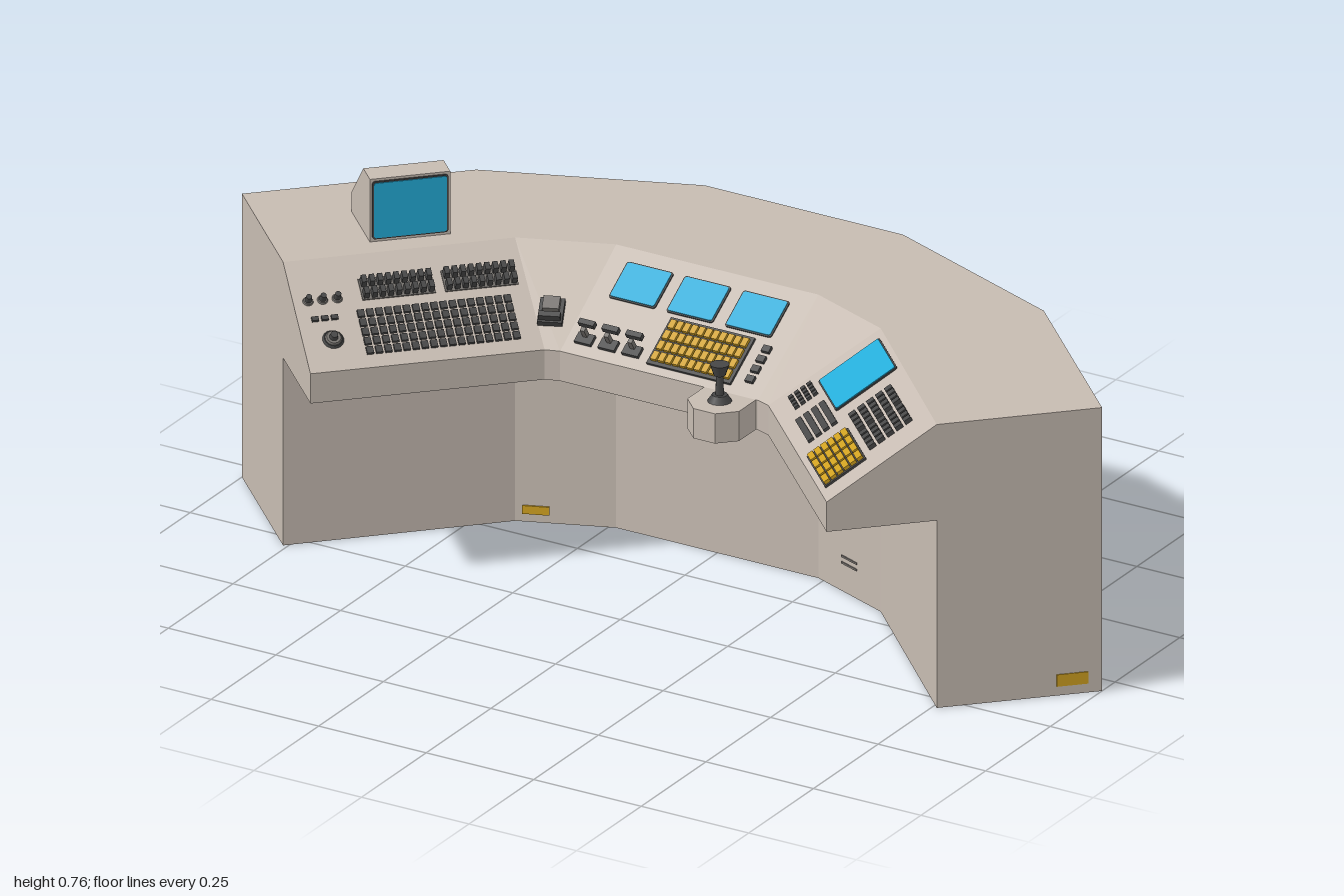
import * as THREE from 'three';
import { mergeGeometries } from 'three/addons/utils/BufferGeometryUtils.js';

const material = (name, color) => {
  const m = new THREE.MeshStandardMaterial({ color });
  m.name = name;
  return m;
};

export function createModel() {
  const model = new THREE.Group();
  model.name = 'controlDesk';
  const shell = material('warm grey shell', 0xc6bbb1);
  const dark = material('dark grey controls', 0x474747);
  const grey = material('mid grey keys', 0x77736f);
  const blue = material('blue screen', 0x24acd8);
  const yellow = material('yellow keys', 0xcfa020);

  const add = (parent, name, geometry, mat, x = 0, y = 0, z = 0) => {
    const mesh = new THREE.Mesh(geometry, mat);
    mesh.name = name;
    mesh.position.set(x, y, z);
    parent.add(mesh);
    return mesh;
  };
  const box = (parent, name, mat, w, h, d, x, y, z = d / 2) =>
    add(parent, name, new THREE.BoxGeometry(w, h, d), mat, x, y, z);

  // Desk body: one cross-section swept through six stations
  const TOP = 0.62, LIP = 0.475, UNDER = 0.41;
  const half = [
    { o: [1, 0.05], i: [0.76, 0.29], l: [0.6, 0.45] },
    { o: [0.66, -0.29], i: [0.425, -0.05], l: [0.26, 0.11] },
    { o: [0.23, -0.46], i: [0.235, -0.125], l: [0.23, 0.1] },
  ];
  const section = ({ o, i, l }, side) =>
    [[o, 0], [o, TOP], [i, TOP], [l, LIP], [l, UNDER], [i, UNDER], [i, 0]]
      .map(([p, y]) => [side * p[0], y, p[1]]);
  const stations = [
    ...half.map((s) => section(s, -1)),
    ...half.slice().reverse().map((s) => section(s, 1)),
  ];
  const verts = [];
  const quad = (a, b, c, d) => verts.push(...a, ...b, ...c, ...a, ...c, ...d);
  for (let s = 0; s < 5; s++) {
    const A = stations[s], B = stations[s + 1];
    for (let j = 0; j < 7; j++) {
      const k = (j + 1) % 7;
      quad(A[j], A[k], B[k], B[j]);
    }
  }
  const F = stations[0], L = stations[5];
  quad(F[6], F[2], F[1], F[0]);
  quad(F[5], F[4], F[3], F[2]);
  quad(L[0], L[1], L[2], L[6]);
  quad(L[2], L[3], L[4], L[5]);
  const body = new THREE.BufferGeometry();
  body.setAttribute('position', new THREE.Float32BufferAttribute(verts, 3));
  body.computeVertexNormals();
  add(model, 'deskBody', body, shell);

  // Sloped panel frame: x runs along the lip, y up the slope, z outwards
  const panel = (name, x, z, turn) => {
    const g = new THREE.Group();
    g.name = name;
    g.position.set(x, LIP, z);
    g.rotation.order = 'YXZ';
    g.rotation.set(-Math.atan2(0.225, 0.145), turn, 0);
    model.add(g);
    return g;
  };
  // Grid of keys filling a rectangle centred on x, y
  const keys = (parent, name, mat, cols, rows, w, h, x, y, depth, base = 0, fill = 0.7) => {
    const parts = [];
    for (let r = 0; r < rows; r++) for (let c = 0; c < cols; c++) {
      const g = new THREE.BoxGeometry(w / cols * fill, h / rows * fill, depth);
      parts.push(g.translate(((c + 0.5) / cols - 0.5) * w, ((r + 0.5) / rows - 0.5) * h, base + depth / 2));
    }
    return add(parent, name, mergeGeometries(parts), mat, x, y, 0);
  };
  // Knob standing out from a panel
  const knob = (parent, name, mat, r, h, x, y, base = 0) =>
    add(parent, name, new THREE.CylinderGeometry(r * 0.85, r, h, 16).rotateX(Math.PI / 2), mat, x, y, base + h / 2);
  // Rounded plate
  const plate = (w, h, r, depth) => {
    const s = new THREE.Shape(), a = w / 2, b = h / 2, q = Math.PI / 2;
    s.absarc(a - r, b - r, r, 0, q);
    s.absarc(r - a, b - r, r, q, 2 * q);
    s.absarc(r - a, r - b, r, 2 * q, 3 * q);
    s.absarc(a - r, r - b, r, 3 * q, 4 * q);
    return new THREE.ExtrudeGeometry(s, { depth, bevelEnabled: false, curveSegments: 4 });
  };
  const screen = (parent, name, w, h, x, y, z = 0) => {
    add(parent, name + 'Frame', plate(w, h, 0.006, 0.003), dark, x, y, z);
    add(parent, name, plate(w - 0.006, h - 0.006, 0.005, 0.005), blue, x, y, z);
  };

  // Centre panel
  const centre = panel('centrePanel', 0, 0.1, 0);
  for (const x of [-0.137, -0.003, 0.133]) screen(centre, 'smallScreen', 0.108, 0.09, x, 0.19);
  box(centre, 'yellowKeyboardBase', dark, 0.195, 0.115, 0.006, 0.06, 0.076);
  keys(centre, 'yellowKeyboard', yellow, 11, 4, 0.185, 0.105, 0.06, 0.076, 0.007, 0.006, 0.78);
  for (const x of [-0.19, -0.135, -0.08]) {
    box(centre, 'leverBase', dark, 0.038, 0.024, 0.008, x, 0.038);
    box(centre, 'leverStem', grey, 0.01, 0.01, 0.03, x, 0.045);
    box(centre, 'leverHandle', dark, 0.036, 0.012, 0.012, x, 0.062, 0.025);
  }
  keys(centre, 'sideButtons', dark, 1, 4, 0.03, 0.1, 0.193, 0.078, 0.008, 0, 0.6);

  // Left-hand corner handset block
  const corner = panel('cornerPanel', -0.245, 0.105, Math.PI / 8);
  box(corner, 'handsetBase', dark, 0.05, 0.058, 0.016, -0.012, 0.085);
  box(corner, 'handsetTop', grey, 0.034, 0.03, 0.014, -0.012, 0.095, 0.023);
  box(corner, 'handsetGrip', dark, 0.044, 0.012, 0.016, -0.012, 0.066, 0.024);

  // Keyboard panel on the -x wing
  const wingA = panel('keyboardPanel', -0.43, 0.28, Math.PI / 4);
  keys(wingA, 'keyboard', dark, 17, 5, 0.32, 0.11, 0.04, 0.083, 0.006, 0, 0.74);
  for (const x of [-0.025, 0.145]) {
    box(wingA, 'switchStrip', grey, 0.15, 0.05, 0.003, x, 0.184);
    keys(wingA, 'switches', dark, 9, 2, 0.15, 0.055, x, 0.184, 0.018, 0.003, 0.62);
  }
  for (const x of [-0.21, -0.18, -0.15]) {
    knob(wingA, 'smallKnobRing', grey, 0.011, 0.004, x, 0.17);
    knob(wingA, 'smallKnob', dark, 0.007, 0.014, x, 0.17, 0.004);
  }
  knob(wingA, 'dialRing', dark, 0.022, 0.005, -0.178, 0.075);
  knob(wingA, 'dialFace', grey, 0.017, 0.004, -0.178, 0.075, 0.005);
  knob(wingA, 'dialCap', dark, 0.009, 0.01, -0.178, 0.075, 0.009);
  keys(wingA, 'dialButtons', dark, 3, 1, 0.06, 0.014, -0.185, 0.125, 0.006);

  // Screen panel on the +x wing
  const wingB = panel('screenPanel', 0.43, 0.28, -Math.PI / 4);
  screen(wingB, 'largeScreen', 0.147, 0.15, -0.124, 0.185);
  keys(wingB, 'buttonBlock', dark, 4, 4, 0.06, 0.06, -0.185, 0.07, 0.006);
  keys(wingB, 'sliderBars', dark, 1, 4, 0.15, 0.08, -0.06, 0.066, 0.006, 0, 0.7).scale.y = 0.95;
  for (const x of [0.04, 0.13])
    keys(wingB, 'darkKeys', dark, 4, 5, 0.08, 0.11, x, 0.18, 0.009, 0, 0.74);
  box(wingB, 'yellowKeysBase', dark, 0.15, 0.1, 0.004, 0.115, 0.063);
  keys(wingB, 'yellowKeys', yellow, 4, 6, 0.146, 0.096, 0.115, 0.063, 0.007, 0.004, 0.82);

  // Joystick ledge with chamfered corners
  const ledge = new THREE.Shape([[0.105, -0.09], [0.225, -0.09], [0.225, -0.165], [0.19, -0.2], [0.14, -0.2], [0.105, -0.165]]
    .map(([x, y]) => new THREE.Vector2(x, y)));
  add(model, 'joystickLedge',
    new THREE.ExtrudeGeometry(ledge, { depth: LIP - UNDER, bevelEnabled: false }).rotateX(-Math.PI / 2), shell, 0, UNDER, 0);
  const stick = new THREE.Group();
  stick.name = 'joystick';
  stick.position.set(0.165, LIP, 0.14);
  model.add(stick);
  add(stick, 'joystickBase', new THREE.CylinderGeometry(0.016, 0.025, 0.014, 12), dark, 0, 0.007, 0);
  add(stick, 'joystickStem', new THREE.CylinderGeometry(0.007, 0.009, 0.05, 10), dark, 0, 0.037, 0);
  add(stick, 'joystickGrip', new THREE.CylinderGeometry(0.02, 0.012, 0.024, 12), dark, 0, 0.068, 0);

  // Monitor standing on the -x wing
  const monitor = new THREE.Group();
  monitor.name = 'monitor';
  monitor.position.set(-0.603, TOP, 0.06);
  monitor.rotation.y = Math.PI / 4;
  model.add(monitor);
  const side = new THREE.Shape([[0, 0], [0, 0.137], [-0.055, 0.137], [-0.153, 0.042], [-0.153, 0]]
    .map(([x, y]) => new THREE.Vector2(x, y)));
  add(monitor, 'monitorCase',
    new THREE.ExtrudeGeometry(side, { depth: 0.165, bevelEnabled: false }).translate(0, 0, -0.0825).rotateY(-Math.PI / 2), shell);
  screen(monitor, 'monitorScreen', 0.156, 0.126, 0, 0.069);

  // Small labels and vent lines low on the walls
  const label = (name, mat, x, y, z, turn, w, h) => {
    const m = box(model, name, mat, w, h, 0.004, x, y, z);
    m.rotation.y = turn;
  };
  label('innerLabel', yellow, -0.385, 0.027, -0.064, 0.37, 0.055, 0.018);
  label('endLabel', yellow, 0.957, 0.033, 0.093, Math.PI / 4, 0.065, 0.026);
  label('outerLabel', yellow, -0.61, 0.033, -0.31, -2.765, 0.065, 0.026);
  for (const y of [0.063, 0.077]) label('ventLine', grey, 0.33, y, -0.087, -0.37, 0.05, 0.004);

  return model;
}
